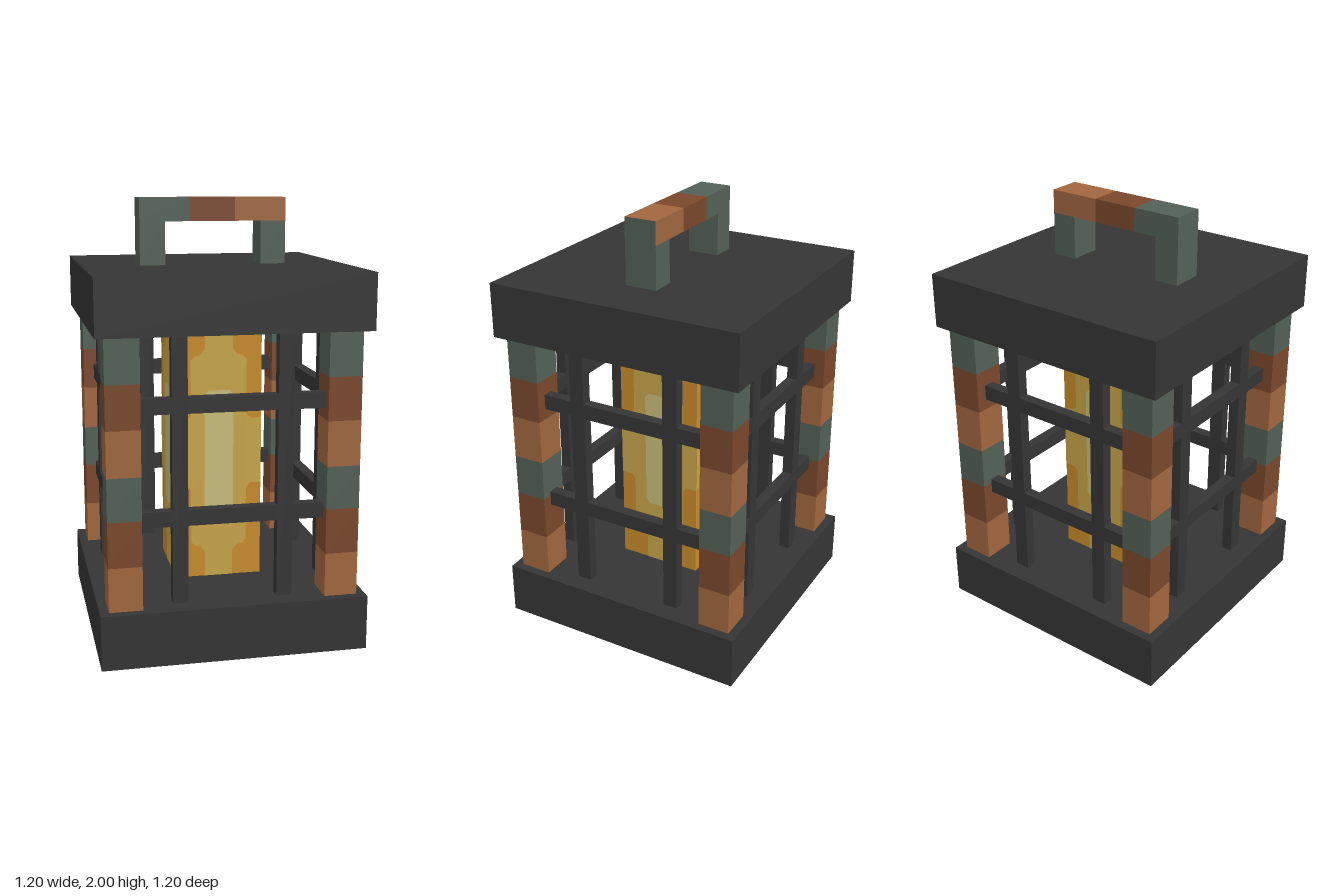
import * as THREE from 'three';

const mat = (name, color, side = THREE.FrontSide) => {
  const m = new THREE.MeshStandardMaterial({ color, side });
  m.name = name;
  return m;
};

export function createModel() {
  const iron = mat('dark iron', 0x353535);
  const patina = mat('green patina', 0x526057);
  const brown = mat('dark copper', 0x7b482c);
  const copper = mat('light copper', 0xa1673f);
  const amber = mat('amber glow', 0xc98c2c);
  const gold = mat('gold glow', 0xc8a64a);
  const pale = mat('pale glow', 0xc9be7b);

  const lantern = new THREE.Group();
  lantern.name = 'lantern';

  // Box given by its minimum and maximum corners
  const box = (parent, name, material, [x0, y0, z0], [x1, y1, z1]) => {
    const mesh = new THREE.Mesh(new THREE.BoxGeometry(x1 - x0, y1 - y0, z1 - z0), material);
    mesh.position.set((x0 + x1) / 2, (y0 + y1) / 2, (z0 + z1) / 2);
    mesh.name = name;
    parent.add(mesh);
    return mesh;
  };

  // Base and roof slabs
  box(lantern, 'base', iron, [-0.6, 0, -0.6], [0.6, 0.25, 0.6]);
  box(lantern, 'roof', iron, [-0.6, 1.45, -0.6], [0.6, 1.7, 0.6]);

  // Corner posts in banded copper, bottom to top
  const levels = [0.25, 0.45, 0.655, 0.85, 1.055, 1.25, 1.45];
  const bands = [copper, brown, patina];
  for (const sx of [-1, 1]) for (const sz of [-1, 1]) {
    const post = new THREE.Group();
    post.name = 'cornerPost';
    post.position.set(sx * 0.485, 0, sz * 0.485);
    for (let i = 0; i < 6; i++) {
      box(post, 'postBand', bands[i % 3], [-0.075, levels[i], -0.075], [0.075, levels[i + 1], 0.075]);
    }
    lantern.add(post);
  }

  // Glowing core
  box(lantern, 'glowCore', amber, [-0.2, 0.25, -0.2], [0.2, 1.45, 0.2]);

  // Flat outline mirrored from one quadrant (points run from the side to the top)
  const mirroredPlate = (quadrant) => {
    const flip = (sx, sy, reverse) => {
      const pts = quadrant.map(([x, y]) => new THREE.Vector2(sx * x, sy * y));
      return reverse ? pts.reverse() : pts;
    };
    return new THREE.ShapeGeometry(new THREE.Shape([
      ...flip(1, 1, false), ...flip(-1, 1, true), ...flip(-1, -1, false), ...flip(1, -1, true),
    ]));
  };
  const goldShape = mirroredPlate([
    [0.2, 0.155], [0.15, 0.155], [0.13, 0.175], [0.13, 0.43],
    [0.11, 0.45], [0.085, 0.455], [0.065, 0.48], [0.065, 0.6],
  ]);
  const paleShape = mirroredPlate([[0.068, 0.27], [0.048, 0.29]]);

  // Four cage sides, each with its glow pattern and bars
  for (let i = 0; i < 4; i++) {
    const side = new THREE.Group();
    side.name = 'cageSide';
    side.rotation.y = i * Math.PI / 2;
    [[goldShape, gold, 0.202, 'goldGlow'], [paleShape, pale, 0.205, 'paleGlow']].forEach(([geo, m, z, name]) => {
      const plate = new THREE.Mesh(geo, m);
      plate.position.set(0, 0.85, z);
      plate.name = name;
      side.add(plate);
    });
    for (const x of [-0.235, 0.235]) {
      box(side, 'verticalBar', iron, [x - 0.035, 0.25, 0.46], [x + 0.035, 1.45, 0.51]);
    }
    for (const y of [0.64, 1.14]) {
      box(side, 'crossBar', iron, [-0.41, y - 0.035, 0.46], [0.41, y + 0.035, 0.51]);
    }
    lantern.add(side);
  }

  // Handle: two legs and a three-coloured grip
  const handle = new THREE.Group();
  handle.name = 'handle';
  for (const s of [-1, 1]) {
    const x = s * 0.279;
    box(handle, 'handleLeg', patina, [x - 0.058, 1.7, -0.075], [x + 0.058, 1.895, 0.075]);
  }
  box(handle, 'gripRight', patina, [-0.337, 1.895, -0.075], [-0.11, 2, 0.075]);
  box(handle, 'gripMiddle', brown, [-0.11, 1.895, -0.075], [0.1, 2, 0.075]);
  // The left end face is green like the leg below it
  box(handle, 'gripLeft', [patina, copper, copper, copper, copper, copper],
    [0.1, 1.895, -0.075], [0.337, 2, 0.075]);
  lantern.add(handle);

  return lantern;
}
